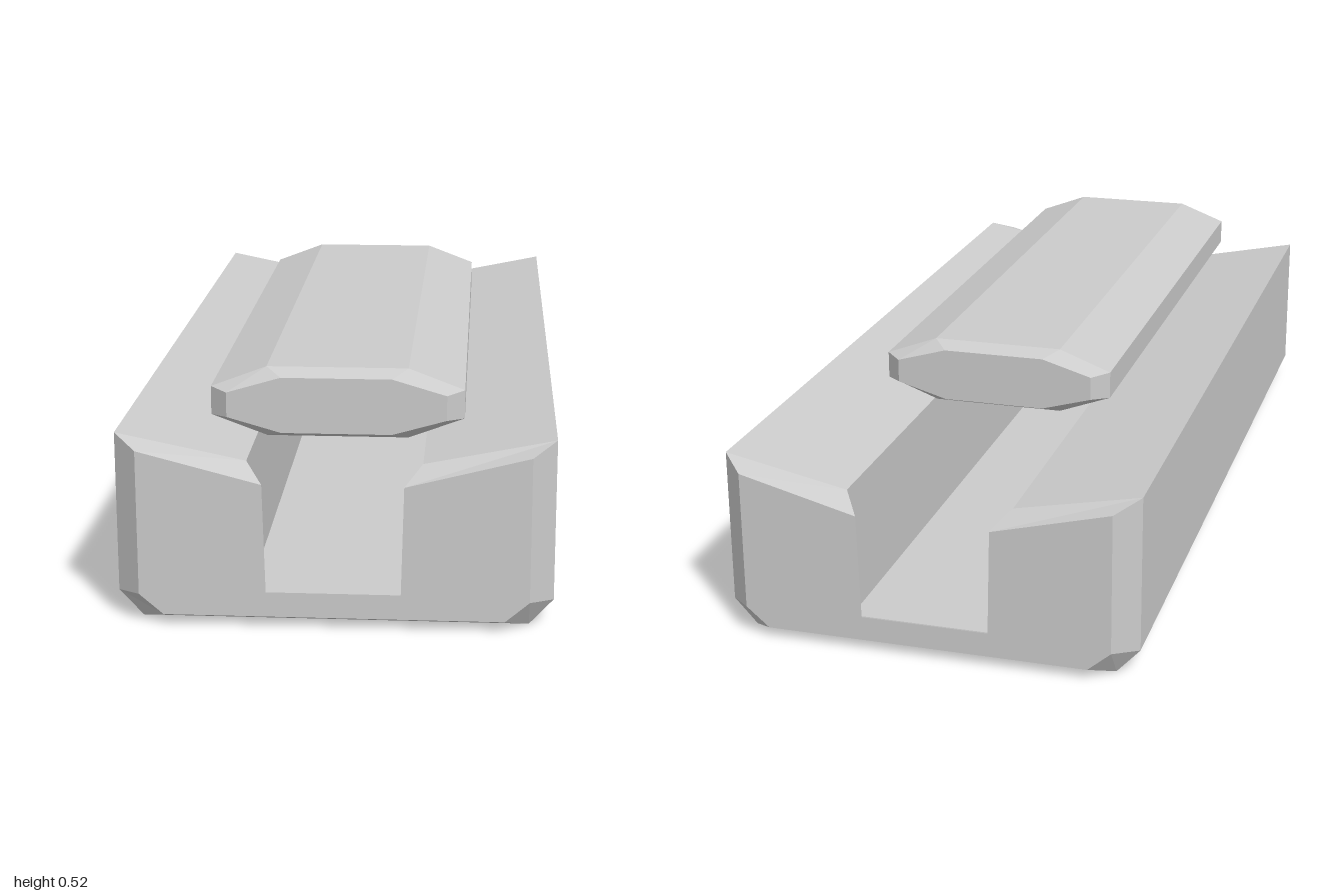
import * as THREE from 'three';

const material = new THREE.MeshStandardMaterial({ color: 0xcccccc, flatShading: true });

// Mirrors the +x half of a cross-section into a closed counter-clockwise ring
const ring = (half) => [...half, ...half.map(([x, y]) => [-x, y]).reverse()]
  .map(([x, y]) => new THREE.Vector2(x, y));

// Bar along z: full section in the middle, inset section on both bevelled ends
function bevelledBar(name, fullHalf, endHalf, zFront, zBack, bevel) {
  const full = ring(fullHalf);
  const end = ring(endHalf);
  const sections = [
    [end, zFront], [full, zFront - bevel], [full, zBack + bevel], [end, zBack],
  ].map(([pts, z]) => pts.map((p) => new THREE.Vector3(p.x, p.y, z)));

  const points = [];
  const n = full.length;
  for (let s = 0; s < 3; s++) {
    const front = sections[s];
    const back = sections[s + 1];
    for (let i = 0; i < n; i++) {
      const j = (i + 1) % n;
      points.push(front[i], back[i], front[j], front[j], back[i], back[j]);
    }
  }
  // End caps
  for (const [a, b, c] of THREE.ShapeUtils.triangulateShape(end, [])) {
    points.push(sections[0][a], sections[0][b], sections[0][c]);
    points.push(sections[3][a], sections[3][c], sections[3][b]);
  }

  const geometry = new THREE.BufferGeometry().setFromPoints(points);
  geometry.computeVertexNormals();
  const mesh = new THREE.Mesh(geometry, material);
  mesh.name = name;
  return mesh;
}

export function createModel() {
  const group = new THREE.Group();
  group.name = 'slottedRail';

  // Channel body with a slot running through its whole length
  group.add(bevelledBar(
    'channelBody',
    [[0.4, 0], [0.45, 0.055], [0.45, 0.395], [0.18, 0.34], [0.18, 0.05]],
    [[0.35, 0.022], [0.4, 0.065], [0.4, 0.371], [0.144, 0.305], [0.138, 0.075]],
    1, -1, 0.05,
  ));

  // Eight-sided bar floating above the slot, set towards the front
  group.add(bevelledBar(
    'upperBar',
    [[0.146, 0.37], [0.262, 0.413], [0.262, 0.473], [0.146, 0.517]],
    [[0.114, 0.385], [0.226, 0.417], [0.226, 0.469], [0.114, 0.502]],
    0.9, -0.5, 0.035,
  ));

  return group;
}
